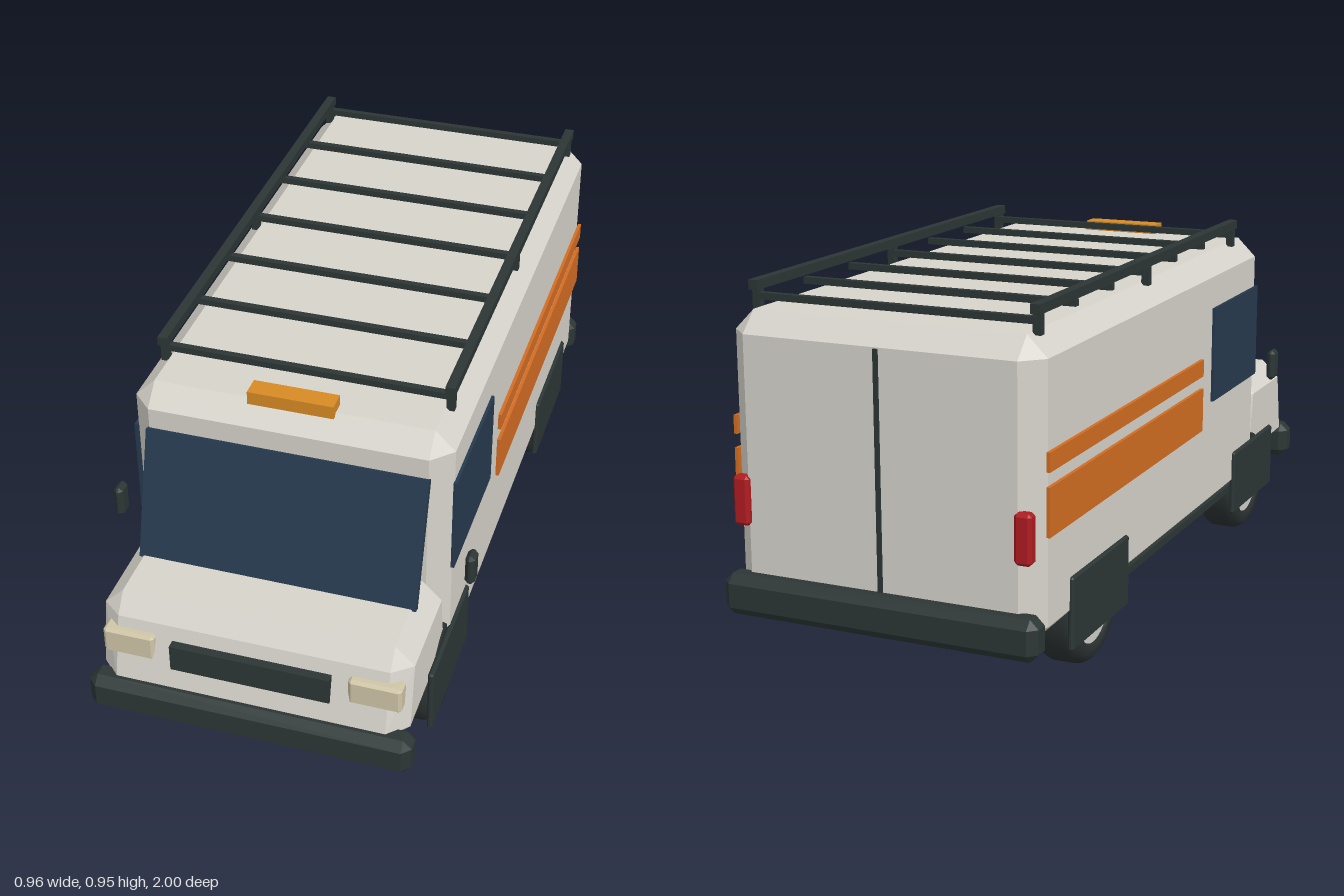
import * as THREE from 'three';
import { ConvexGeometry } from 'three/addons/geometries/ConvexGeometry.js';

const mat = (name, color) => {
  const m = new THREE.MeshStandardMaterial({ color });
  m.name = name;
  return m;
};

export function createModel() {
  const group = new THREE.Group();
  const paint = mat('warm white paint', 0xd6d3cb);
  const trim = mat('dark trim', 0x2c3635);
  const rubber = mat('tyre rubber', 0x2a3030);
  const glass = mat('dark blue glass', 0x263a4e);
  const orange = mat('orange stripe', 0xd26c22);
  const amber = mat('amber lamp', 0xd68a24);
  const lens = mat('cream lens', 0xcfc5a6);
  const red = mat('red lens', 0xae1b20);
  const hubGrey = mat('light hub', 0xcfcfca);

  const add = (name, geometry, material) => {
    const mesh = new THREE.Mesh(geometry, material);
    mesh.name = name;
    group.add(mesh);
    return mesh;
  };
  // Box given by its limits on each axis
  const box = (name, material, [x0, x1], [y0, y1], [z0, z1]) => {
    const mesh = add(name, new THREE.BoxGeometry(x1 - x0, y1 - y0, z1 - z0), material);
    mesh.position.set((x0 + x1) / 2, (y0 + y1) / 2, (z0 + z1) / 2);
    return mesh;
  };
  // Box with all edges cut by c; warp may move each corner
  const chamfered = (name, material, [x0, x1], [y0, y1], [z0, z1], c, warp) => {
    const points = [];
    for (let i = 0; i < 8; i++) {
      const s = [i & 1, i & 2, i & 4].map((b) => (b ? 1 : -1));
      for (let axis = 0; axis < 3; axis++) {
        const inset = [0, 1, 2].map((a) => (a === axis ? 0 : c * s[a]));
        const p = new THREE.Vector3(
          (s[0] > 0 ? x1 : x0) - inset[0],
          (s[1] > 0 ? y1 : y0) - inset[1],
          (s[2] > 0 ? z1 : z0) - inset[2]);
        if (warp) warp(p);
        points.push(p);
      }
    }
    return add(name, new ConvexGeometry(points), material);
  };
  // Limits mirrored to the side s
  const side = (s, a, b) => (s > 0 ? [a, b] : [-b, -a]);

  // Body and tapered hood
  chamfered('body', paint, [-0.41, 0.41], [0.145, 0.885], [-0.955, 0.64], 0.052);
  chamfered('hood', paint, [-0.4, 0.4], [0.185, 0.455], [0.56, 0.97], 0.05, (p) => {
    const t = THREE.MathUtils.clamp((p.y - 0.235) / 0.17, 0, 1);
    p.z = 0.765 + (p.z - 0.765) * (1 - 0.21 * t);
  });

  // Leaning windscreen slab
  const screen = add('windscreen', new THREE.BoxGeometry(0.725, 0.345, 0.02), glass);
  screen.position.set(0, 0.613, 0.692);
  screen.rotation.x = -Math.atan2(0.1, 0.33);

  // Front face details
  box('grille', trim, [-0.206, 0.206], [0.293, 0.367], [0.92, 0.96]);
  chamfered('frontBumper', trim, [-0.42, 0.42], [0.135, 0.24], [0.922, 1], 0.022);
  chamfered('rearBumper', trim, [-0.42, 0.42], [0.135, 0.24], [-1, -0.922], 0.022);
  box('roofLamp', amber, [-0.11, 0.11], [0.877, 0.912], [0.552, 0.605]);
  box('rearDoorSeam', trim, [-0.006, 0.006], [0.2, 0.83], [-0.96, -0.952]);

  // Tyre cross-section turned about the axle
  const tyreGeometry = new THREE.LatheGeometry(
    [[0.1, -0.045], [0.108, -0.057], [0.132, -0.057], [0.147, -0.045], [0.155, -0.03],
      [0.155, 0.03], [0.147, 0.045], [0.132, 0.057], [0.108, 0.057], [0.1, 0.045]]
      .map(([r, y]) => new THREE.Vector2(r, y)), 28).rotateZ(Math.PI / 2);
  const hubGeometry = new THREE.CylinderGeometry(0.104, 0.104, 0.1, 28).rotateZ(Math.PI / 2);

  for (const s of [1, -1]) {
    const label = s > 0 ? 'left' : 'right';
    box(label + 'SideWindow', glass, side(s, 0.409, 0.418), [0.48, 0.745], [0.217, 0.598]);
    box(label + 'WideStripe', orange, side(s, 0.411, 0.42), [0.418, 0.538], [-0.915, 0.125]);
    box(label + 'NarrowStripe', orange, side(s, 0.411, 0.42), [0.573, 0.62], [-0.915, 0.125]);
    box(label + 'Sill', trim, side(s, 0.37, 0.4), [0.155, 0.175], [-0.6, 0.55]);
    chamfered(label + 'Mirror', trim, side(s, 0.453, 0.478), [0.465, 0.553], [0.588, 0.638], 0.01);
    chamfered(label + 'Headlight', lens, side(s, 0.25, 0.385), [0.3, 0.376], [0.905, 0.954], 0.008);
    chamfered(label + 'TailLight', red, side(s, 0.352, 0.396), [0.36, 0.485], [-0.97, -0.935], 0.008);

    // Wheels with flat guards
    for (const [end, z] of [['Front', 0.6], ['Rear', -0.597]]) {
      add(label + end + 'Tyre', tyreGeometry, rubber).position.set(s * 0.347, 0.155, z);
      add(label + end + 'Hub', hubGeometry, hubGrey).position.set(s * 0.347, 0.155, z);
      chamfered(label + end + 'WheelGuard', trim, side(s, 0.404, 0.419),
        [0.092, 0.278], [z - 0.18, z + 0.18], 0.005);
    }

    // Roof rack rail and posts
    box(label + 'RackRail', trim, side(s, 0.357, 0.382), [0.927, 0.951], [-0.885, 0.5]);
    for (const z of [0.48, -0.192, -0.864]) {
      box(label + 'RackPost', trim, side(s, 0.359, 0.379), [0.877, 0.93], [z - 0.01, z + 0.01]);
    }
  }

  // Roof rack cross bars
  for (let i = 0; i < 7; i++) {
    const z = -0.868 + i * 0.2235;
    box('rackCrossBar', trim, [-0.37, 0.37], [0.903, 0.92], [z - 0.009, z + 0.009]);
  }
  return group;
}
